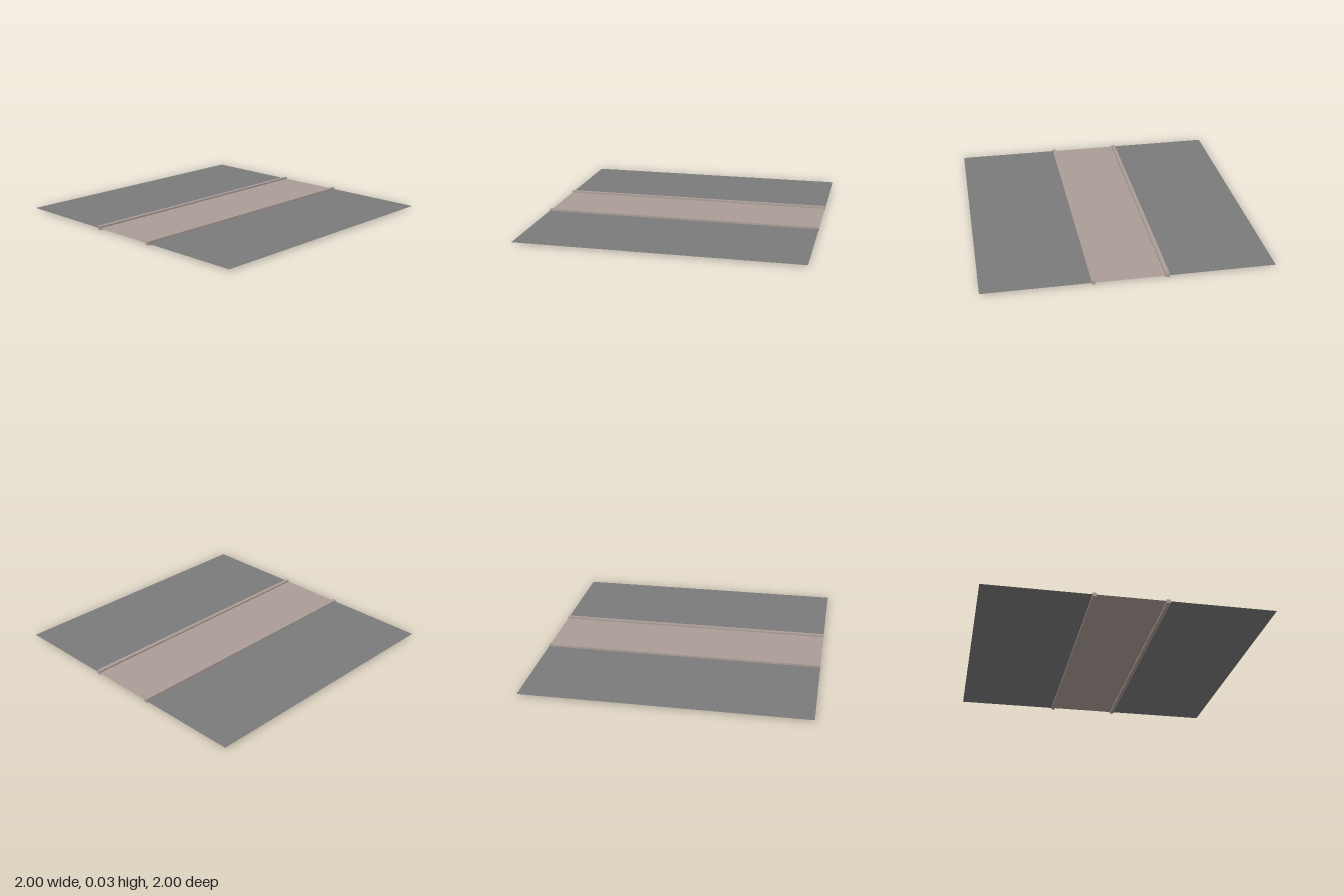
import * as THREE from 'three';

export function createModel() {
  const model = new THREE.Group();
  const grey = new THREE.MeshStandardMaterial({ color: 0x7b7b7b, side: THREE.DoubleSide });
  grey.name = 'ground grey';
  const taupe = new THREE.MeshStandardMaterial({ color: 0xab9d97, side: THREE.DoubleSide });
  taupe.name = 'path taupe';

  const curb = 0.027; // curb thickness
  const edge = 0.25; // half width of the path
  const level = curb / 2; // surfaces meet the curbs at mid-height

  const add = (name, geometry, material, y, z) => {
    const mesh = new THREE.Mesh(geometry, material);
    mesh.name = name;
    mesh.position.set(0, y, z);
    model.add(mesh);
  };
  const sheet = (depth) => new THREE.PlaneGeometry(2, depth).rotateX(-Math.PI / 2);

  // Central path
  add('path', sheet(edge * 2), taupe, level, 0);

  // Ground strip and curb on each side
  for (const [side, name] of [[1, 'front'], [-1, 'back']]) {
    add(name + 'Ground', sheet(1 - edge), grey, level, side * (1 + edge) / 2);
    add(name + 'Curb', new THREE.BoxGeometry(2, curb, curb), taupe, level, side * edge);
  }
  return model;
}
